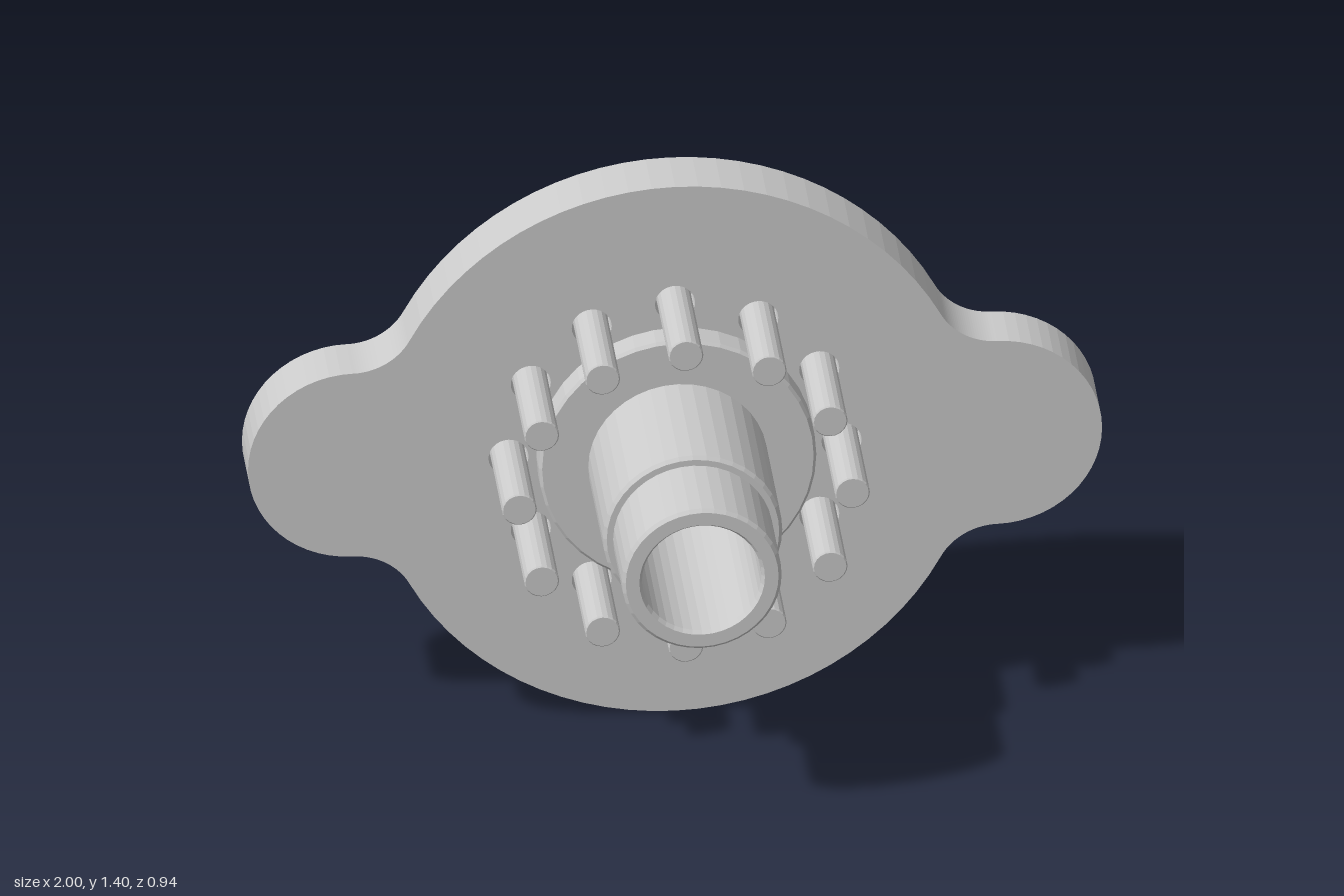
import * as THREE from 'three';

const CY = 0.705;                 // height of the main axis
const BACK = -0.295, MID = -0.22, FRONT = -0.155;
const EAR_X = 0.755, PIN_ORBIT = 0.39, PIN_COUNT = 12;
const material = new THREE.MeshStandardMaterial({ color: 0xcccccc, flatShading: true });

// Solid of revolution about z; profile is [radius, z], outside first towards +z
function turned(name, profile, segments, x = 0, y = 0) {
  const geo = new THREE.LatheGeometry(profile.map(([r, z]) => new THREE.Vector2(r, z)), segments);
  geo.rotateX(Math.PI / 2);
  const mesh = new THREE.Mesh(geo, material);
  mesh.name = name;
  mesh.position.set(x, y, 0);
  return mesh;
}

const pinSpots = Array.from({ length: PIN_COUNT }, (_, i) => {
  const a = (i / PIN_COUNT) * Math.PI * 2;
  return [PIN_ORBIT * Math.cos(a), PIN_ORBIT * Math.sin(a)];
});

// Round disc blended into two ears by tangent fillets
function plateShape(pinHoleRadius) {
  const R = 0.702, r = 0.245, f = 0.15;
  const fx = ((R + f) ** 2 - (r + f) ** 2 + EAR_X ** 2) / (2 * EAR_X);
  const fy = Math.sqrt((R + f) ** 2 - fx ** 2);
  const a = Math.atan2(fy, fx - EAR_X), b = Math.atan2(fy, fx), P = Math.PI;
  const s = new THREE.Shape();
  s.absarc(EAR_X, 0, r, -a, a, false);
  s.absarc(fx, fy, f, a - P, b - P, true);
  s.absarc(0, 0, R, b, P - b, false);
  s.absarc(-fx, fy, f, -b, -a, true);
  s.absarc(-EAR_X, 0, r, P - a, P + a, false);
  s.absarc(-fx, -fy, f, a, b, true);
  s.absarc(0, 0, R, P + b, 2 * P - b, false);
  s.absarc(fx, -fy, f, P - b, P - a, true);
  for (const [x, y, hr] of [[0, 0, 0.18], ...pinSpots.map(([px, py]) => [px, py, pinHoleRadius])]) {
    const hole = new THREE.Path();
    hole.absarc(x, y, hr, 0, P * 2, true);
    s.holes.push(hole);
  }
  return s;
}

function plateLayer(name, holeRadius, z0, z1) {
  const geo = new THREE.ExtrudeGeometry(plateShape(holeRadius), {
    depth: z1 - z0, bevelEnabled: false, curveSegments: 14,
  });
  geo.translate(0, 0, z0);
  const mesh = new THREE.Mesh(geo, material);
  mesh.name = name;
  return mesh;
}

export function createModel() {
  const model = new THREE.Group();
  model.name = 'flangedHub';
  const body = new THREE.Group();
  body.name = 'body';
  body.position.y = CY;
  model.add(body);

  // Plate: wide pin-head holes at the back, narrow pin holes at the front
  body.add(plateLayer('plateBack', 0.073, BACK, MID));
  body.add(plateLayer('plateFront', 0.047, MID, FRONT));

  // Hollow hub: rear collar, front flange, stepped shaft and bore
  body.add(turned('hub', [
    [0.12, -0.47], [0.22, -0.47], [0.25, -0.44], [0.25, -0.2],
    [0.325, -0.2], [0.325, -0.097], [0.318, -0.09],
    [0.21, -0.09], [0.21, 0.247], [0.202, 0.255],
    [0.187, 0.255], [0.187, 0.457], [0.179, 0.465],
    [0.147, 0.465], [0.14, 0.455], [0.14, -0.1],
    [0.122, -0.1], [0.11, -0.12], [0.11, -0.46], [0.12, -0.47],
  ], 40));

  // Headed pins around the hub
  const pins = new THREE.Group();
  pins.name = 'pins';
  for (const [x, y] of pinSpots) {
    pins.add(turned('pin', [
      [0, BACK + 0.002], [0.066, BACK + 0.002], [0.066, MID],
      [0.041, MID], [0.041, 0.092], [0.038, 0.095], [0, 0.095],
    ], 20, x, y));
  }
  body.add(pins);

  // Stepped bosses with blind holes behind the ears
  for (const side of [-1, 1]) {
    body.add(turned(side > 0 ? 'leftBoss' : 'rightBoss', [
      [0, -0.32], [0.048, -0.32], [0.048, -0.465], [0.108, -0.465],
      [0.123, -0.45], [0.123, -0.345], [0.14, -0.345], [0.14, BACK + 0.005],
    ], 28, side * 0.75));
  }
  return model;
}
